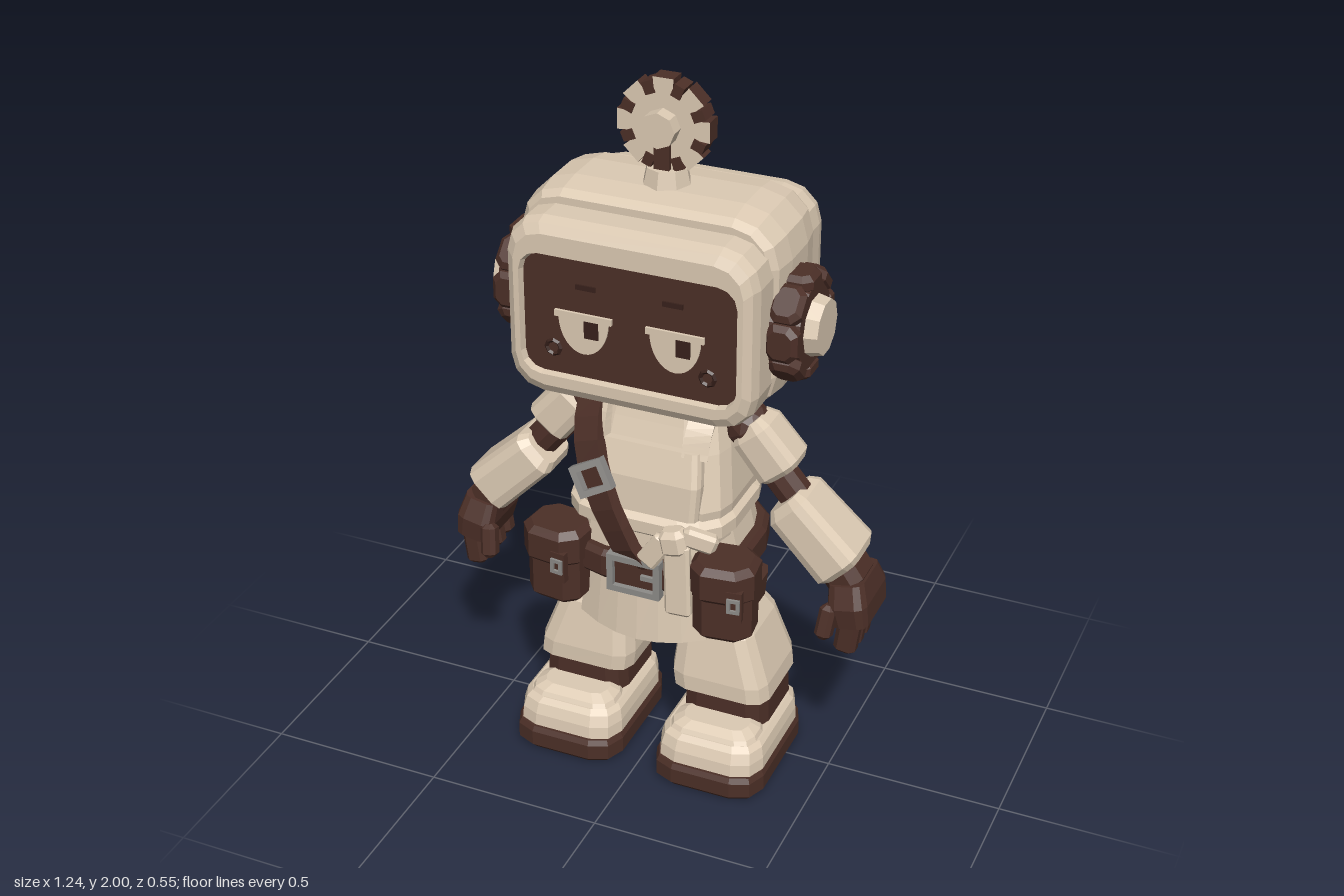
import * as THREE from 'three';

const mat = (name, color) => Object.assign(new THREE.MeshStandardMaterial({ color }), { name });

export function createModel() {
  const cream = mat('cream', 0xdccab3), brown = mat('brown', 0x4c2f27);
  const dark = mat('dark brown', 0x38211b), steel = mat('steel', 0x8d8b88);
  const root = new THREE.Group();
  root.name = 'robotAdventurer';

  // Faceted mesh
  function add(name, geo, material, pos = [0, 0, 0], rot = [0, 0, 0], parent = root) {
    const g = geo.index ? geo.toNonIndexed() : geo;
    g.computeVertexNormals();
    const m = new THREE.Mesh(g, material);
    m.name = name;
    m.position.set(...pos);
    m.rotation.set(...rot);
    parent.add(m);
    return m;
  }
  const group = (name, pos, rz = 0, ry = 0) => {
    const g = new THREE.Group();
    g.name = name;
    g.position.set(...pos);
    g.rotation.set(0, ry, rz);
    root.add(g);
    return g;
  };
  const box = (x, y, z) => new THREE.BoxGeometry(x, y, z);

  // Skin a list of point loops; capped ends unless closed into a ring
  function skin(loops, closed = false) {
    const n = loops[0].length, v = loops.flat(2), idx = [], m = loops.length;
    for (let i = 0; i < (closed ? m : m - 1); i++) for (let j = 0; j < n; j++) {
      const a = i * n + j, b = i * n + (j + 1) % n, k = ((i + 1) % m - i) * n;
      idx.push(a, a + k, b, b, a + k, b + k);
    }
    if (!closed) for (let j = 1; j < n - 1; j++) {
      const t = (m - 1) * n;
      idx.push(0, j, j + 1, t, t + j + 1, t + j);
    }
    const g = new THREE.BufferGeometry();
    g.setAttribute('position', new THREE.Float32BufferAttribute(v, 3));
    g.setIndex(idx);
    return g;
  }
  // Stack of rounded rectangles, bottom to top: [y, halfX, halfZ, centreZ, cornerRadius, centreX]
  function loft(rings, seg = 2) {
    return skin(rings.map(([y, w, d, cz = 0, r = Math.min(w, d) * 0.5, cx = 0]) => {
      const loop = [];
      for (let q = 0; q < 4; q++) for (let k = 0; k <= seg; k++) {
        const a = (q + k / seg) * Math.PI / 2;
        const sx = q === 0 || q === 3 ? 1 : -1, sz = q < 2 ? 1 : -1;
        loop.push([cx + sx * (w - r) + r * Math.cos(a), y, cz + sz * (d - r) + r * Math.sin(a)]);
      }
      return loop;
    }));
  }
  // Rounded block with bevelled top and bottom
  const block = (w, h, d, b = 0.015) => loft([[-h / 2, w / 2 - b, d / 2 - b], [-h / 2 + b, w / 2, d / 2],
    [h / 2 - b, w / 2, d / 2], [h / 2, w / 2 - b, d / 2 - b]], 1);
  // Flat strap along a smooth path, facing away from the chest centre
  function band(pts, width, thick, closed = false) {
    const c = new THREE.CatmullRomCurve3(pts.map(p => new THREE.Vector3(...p)), closed);
    const n = 28, loops = [];
    for (let i = 0; i < n + (closed ? 0 : 1); i++) {
      const p = c.getPointAt(i / n), t = c.getTangentAt(i / n);
      const o = p.clone().sub(new THREE.Vector3(p.x * 0.5, 0.88, -0.02));
      o.addScaledVector(t, -o.dot(t)).normalize();
      const s = o.clone().cross(t);
      loops.push([[-1, 0], [-1, 1], [1, 1], [1, 0]].map(([a, b]) => p.clone()
        .addScaledVector(s, a * width / 2).addScaledVector(o, (b - 0.5) * thick).toArray()));
    }
    return skin(loops, closed);
  }
  function frame(w, h, t, depth) {
    const rect = (S, a, b) => new S([[-a, -b], [a, -b], [a, b], [-a, b]].map(p => new THREE.Vector2(...p)));
    const s = rect(THREE.Shape, w / 2, h / 2);
    s.holes.push(rect(THREE.Path, w / 2 - t, h / 2 - t));
    return new THREE.ExtrudeGeometry(s, { depth, bevelEnabled: false });
  }

  // Head: rear shell, raised middle band, front frame with recessed screen
  const facing = [Math.PI / 2, 0, 0];
  add('headRear', loft([[-0.275, 0.305, 0.21, 0, 0.08], [-0.255, 0.33, 0.238, 0, 0.1],
    [-0.22, 0.337, 0.245, 0, 0.1], [0, 0.337, 0.245, 0, 0.1]], 3), cream, [0, 1.415, 0], facing);
  add('headBand', loft([[-0.155, 0.335, 0.255, 0, 0.1], [-0.13, 0.352, 0.27, 0, 0.12], [-0.06, 0.364, 0.281, 0, 0.13],
    [0.05, 0.364, 0.281, 0, 0.13], [0.12, 0.355, 0.27, 0, 0.12], [0.145, 0.335, 0.255, 0, 0.1]], 3),
    cream, [0, 1.43, 0], facing);
  add('faceFrame', loft([[0, 0.345, 0.25, 0, 0.1], [0.215, 0.345, 0.25, 0, 0.1], [0.245, 0.335, 0.24, 0, 0.09],
    [0.26, 0.315, 0.215, 0, 0.08], [0.26, 0.3, 0.172, 0.012, 0.055], [0.232, 0.294, 0.165, 0.015, 0.05]], 3),
    cream, [0, 1.415, 0], facing);
  add('screen', loft([[0.231, 0.297, 0.168, 0, 0.05], [0.239, 0.297, 0.168, 0, 0.05]], 3), brown, [0, 1.401, 0], facing);
  const half = new THREE.Shape();
  half.absellipse(0, 0, 0.07, 0.1, Math.PI, Math.PI * 2);
  for (const s of [-1, 1]) {
    const x = s * 0.127;
    add('eye', new THREE.ExtrudeGeometry(half, { depth: 0.006, bevelEnabled: false, curveSegments: 8 }), cream, [x, 1.403, 0.238]);
    add('eyelid', box(0.16, 0.018, 0.008), cream, [x, 1.41, 0.244]);
    add('pupil', box(0.04, 0.05, 0.006), dark, [x + 0.022, 1.376, 0.243]);
    add('eyebrow', box(0.055, 0.014, 0.006), dark, [s * 0.12, 1.492, 0.241]);
    add('cheekStud', new THREE.TorusGeometry(0.02, 0.006, 4, 8), dark, [s * 0.215, 1.305, 0.24]);

    // Ear pads with chunky rims
    const ear = group('ear', [s * 0.38, 1.4, 0.03]);
    const side = [0, 0, -s * Math.PI / 2];
    add('earPad', new THREE.CylinderGeometry(0.115, 0.138, 0.08, 16), brown, [0, 0, 0], side, ear);
    for (let i = 0; i < 8; i++) {
      const a = i * Math.PI / 4;
      add('earRimBlock', block(0.09, 0.05, 0.104, 0.014), brown,
        [0, Math.cos(a) * 0.123, Math.sin(a) * 0.123], [a, 0, 0], ear);
    }
    add('earCap', new THREE.CylinderGeometry(0.075, 0.09, 0.07, 10), cream, [s * 0.04, 0, 0], side, ear);
  }

  // Antenna with gear wheel
  add('antennaBase', new THREE.CylinderGeometry(0.055, 0.066, 0.05, 8), cream, [0, 1.73, 0]);
  add('antennaPost', box(0.042, 0.11, 0.075), brown, [0, 1.8, 0]);
  const teeth = [];
  for (let i = 0; i < 8; i++) for (const [o, r] of [[-0.27, 0.095], [-0.22, 0.13], [0.22, 0.13], [0.27, 0.095]]) {
    const a = i * Math.PI / 4 + o;
    teeth.push(new THREE.Vector2(Math.cos(a) * r, Math.sin(a) * r));
  }
  add('gear', new THREE.ExtrudeGeometry(new THREE.Shape(teeth), { depth: 0.05, bevelEnabled: false }),
    [cream, brown], [0, 1.87, -0.025]);
  for (let i = 0; i < 8; i++) {
    const a = (i + 0.5) * Math.PI / 4;
    add('gearNotch', box(0.034, 0.028, 0.058), brown, [Math.cos(a) * 0.104, 1.87 + Math.sin(a) * 0.104, 0], [0, 0, a]);
  }
  add('gearHub', new THREE.CylinderGeometry(0.048, 0.048, 0.13, 8), cream, [0, 1.87, 0], facing);

  // Neck and torso
  add('neck', loft([[1.09, 0.11, 0.1, -0.01], [1.17, 0.11, 0.11]]), brown);
  add('vest', loft([[0.74, 0.215, 0.18, -0.01, 0.1], [0.85, 0.225, 0.19, -0.01, 0.1], [1.0, 0.205, 0.165, -0.02, 0.1],
    [1.07, 0.19, 0.135, -0.015, 0.09], [1.135, 0.16, 0.11, -0.01, 0.07]], 3), cream);
  add('bib', loft([[0.83, 0.165, 0.03, 0.165, 0.02], [0.93, 0.17, 0.03, 0.158, 0.02], [1.02, 0.16, 0.03, 0.13, 0.02]]), cream);
  for (const s of [-1, 1]) add('vestStrap', band([[s * 0.14, 1.0, 0.145], [s * 0.145, 1.08, 0.115], [s * 0.15, 1.135, 0.05],
    [s * 0.15, 1.135, -0.07], [s * 0.145, 1.07, -0.145], [s * 0.14, 0.95, -0.18]], 0.07, 0.025), cream);
  add('waistSash', loft([[0.755, 0.215, 0.18, 0, 0.11], [0.775, 0.238, 0.205, 0, 0.12], [0.81, 0.238, 0.205, 0, 0.12],
    [0.83, 0.215, 0.18, 0, 0.11]], 3), cream);
  add('tunicSkirt', loft([[0.62, 0.245, 0.195, -0.01, 0.13], [0.78, 0.21, 0.185, -0.01, 0.12]], 3), cream);
  add('shorts', loft([[0.46, 0.235, 0.12, -0.01], [0.5, 0.25, 0.15, -0.01], [0.64, 0.23, 0.17, -0.01]]), brown);

  // Curved cloth flaps front and rear
  for (const [name, z, w, s] of [['frontFlap', 0.187, 0.35, 1], ['rearFlap', -0.21, 0.32, -1]]) {
    const g = new THREE.BoxGeometry(w, 0.2, 0.025, 6, 1, 1), p = g.attributes.position;
    for (let i = 0; i < p.count; i++) {
      const x = p.getX(i);
      p.setZ(i, p.getZ(i) - s * x * x * 1.6);
      if (p.getY(i) < 0) p.setXYZ(i, x * 1.08, p.getY(i) + x * x * 0.6, p.getZ(i) + s * 0.015);
    }
    add(name, g, cream, [0, 0.53, z]);
  }

  // Belt, buckles, cross strap and pouches
  add('belt', loft([[0.6, 0.25, 0.215, -0.015, 0.15], [0.615, 0.263, 0.228, -0.015, 0.16], [0.675, 0.263, 0.228, -0.015, 0.16],
    [0.69, 0.25, 0.215, -0.015, 0.15]], 3), brown);
  add('buckleBacking', box(0.14, 0.1, 0.03), brown, [0, 0.645, 0.204]);
  add('beltBuckle', frame(0.155, 0.115, 0.018, 0.03), steel, [0, 0.645, 0.205]);
  add('buckleTongue', box(0.05, 0.014, 0.012), steel, [0.045, 0.645, 0.224]);
  add('crossStrap', band([[-0.165, 1.14, -0.02], [-0.172, 1.105, 0.085], [-0.15, 1.0, 0.172], [-0.1, 0.87, 0.21], [-0.05, 0.77, 0.217],
    [0.01, 0.67, 0.2], [0.15, 0.65, 0.03], [0.15, 0.68, -0.2], [0.07, 0.8, -0.222], [-0.04, 0.94, -0.207], [-0.13, 1.07, -0.155]],
    0.08, 0.034, true), brown);
  add('strapBuckle', frame(0.1, 0.09, 0.018, 0.03), steel, [-0.122, 0.92, 0.205], [-0.2, 0, 0.5]);
  for (const s of [-1, 1]) {
    const p = group('pouch', [s * 0.245, 0.615, 0.17], 0, s * 0.12);
    add('pouchBody', block(0.165, 0.23, 0.14, 0.02), brown, [0, 0, 0], [0, 0, 0], p);
    add('pouchFlap', block(0.18, 0.11, 0.165, 0.018), brown, [0, 0.068, 0.004], [0, 0, 0], p);
    add('pouchTab', box(0.045, 0.09, 0.02), brown, [0.045, 0.025, 0.08], [0, 0, 0], p);
    add('pouchClasp', frame(0.036, 0.044, 0.01, 0.01), steel, [0.045, 0.03, 0.087], [0, 0, 0], p);
  }

  // Sash knot with hanging ends
  add('sashKnot', block(0.08, 0.075, 0.07), cream, [0.115, 0.78, 0.215], [0, 0, 0.2]);
  add('sashTail', block(0.075, 0.22, 0.03, 0.01), cream, [0.13, 0.67, 0.228], [-0.05, 0, 0.05]);
  add('sashEnd', block(0.06, 0.11, 0.028, 0.01), cream, [0.065, 0.745, 0.23], [0, 0, -0.6]);
  add('sashLoop', block(0.055, 0.1, 0.04, 0.012), cream, [0.18, 0.79, 0.2], [0, 0.4, 1.2]);

  for (const s of [-1, 1]) {
    // Arms
    add('shoulder', new THREE.IcosahedronGeometry(0.068, 1), brown, [s * 0.235, 1.05, -0.005]);
    const upper = group('upperArm', [s * 0.292, 1.005, 0], s * 0.7);
    add('upperSleeve', loft([[-0.085, 0.052, 0.055], [-0.07, 0.067, 0.07], [0.05, 0.063, 0.068], [0.08, 0.047, 0.05]]),
      cream, [0, 0, 0], [0, 0, 0], upper);
    add('elbow', new THREE.CylinderGeometry(0.05, 0.05, 0.16, 10), brown, [s * 0.345, 0.905, 0], [0, 0, s * 0.7]);
    const fore = group('forearm', [s * 0.441, 0.785, 0.003], s * 0.8);
    add('foreSleeve', loft([[-0.13, 0.058, 0.075], [-0.112, 0.074, 0.096], [0.09, 0.069, 0.088], [0.115, 0.053, 0.068]]),
      cream, [0, 0, 0], [0, 0, 0], fore);
    // Gloved hands
    const hand = group('hand', [s * 0.558, 0.605, 0], s * 0.2);
    add('cuff', block(0.11, 0.07, 0.14), brown, [-s * 0.015, 0.062, 0], [0, 0, s * 0.4], hand);
    add('palm', loft([[-0.06, 0.05, 0.1], [0, 0.057, 0.104], [0.06, 0.05, 0.08]]), brown, [0, 0, 0], [0, 0, 0], hand);
    for (let i = 0; i < 4; i++) add('finger', block(0.062, 0.12, 0.052, 0.012), brown,
      [-s * 0.012, -0.085 + (i === 3 ? 0.015 : 0), 0.073 - i * 0.05], [0, 0, -s * 0.33], hand);
    add('thumb', block(0.045, 0.1, 0.05, 0.012), brown, [-s * 0.06, -0.04, 0.095], [-0.25, 0, -s * 0.3], hand);

    // Legs and boots
    const leg = group('leg', [s * 0.215, 0, 0]);
    add('thigh', loft([[0.4, 0.08, 0.1], [0.54, 0.09, 0.12]]), brown, [-s * 0.035, 0, -0.01], [0, 0, 0], leg);
    add('trouserLeg', loft([[0.225, 0.115, 0.115, -0.005, 0.05], [0.242, 0.142, 0.143, -0.005, 0.05],
      [0.29, 0.142, 0.143, -0.005, 0.05, -s * 0.006], [0.43, 0.11, 0.122, -0.008, 0.045, -s * 0.025],
      [0.47, 0.09, 0.1, -0.01, 0.04, -s * 0.03]]), cream, [-s * 0.008, 0, 0], [0, 0, 0], leg);
    add('ankle', loft([[0.12, 0.128, 0.13, -0.01, 0.05], [0.235, 0.122, 0.128, -0.01, 0.05]]), brown, [0, 0, 0], [0, 0, 0], leg);
    add('boot', loft([[0.07, 0.155, 0.2, 0.055, 0.07], [0.11, 0.153, 0.197, 0.053, 0.07], [0.14, 0.146, 0.188, 0.049, 0.065],
      [0.153, 0.134, 0.175, 0.046, 0.06]]), cream, [0, 0, 0], [0, 0, 0], leg);
    add('toeCap', loft([[0.14, 0.134, 0.078, 0.148, 0.05], [0.165, 0.122, 0.066, 0.145, 0.045], [0.18, 0.095, 0.045, 0.14, 0.035]]),
      cream, [0, 0, 0], [0, 0, 0], leg);
    add('sole', loft([[0, 0.15, 0.2, 0.057, 0.07], [0.015, 0.162, 0.213, 0.057, 0.075], [0.06, 0.162, 0.213, 0.057, 0.075],
      [0.075, 0.155, 0.205, 0.057, 0.07]]), brown, [0, 0, 0], [0, 0, 0], leg);
  }
  return root;
}
